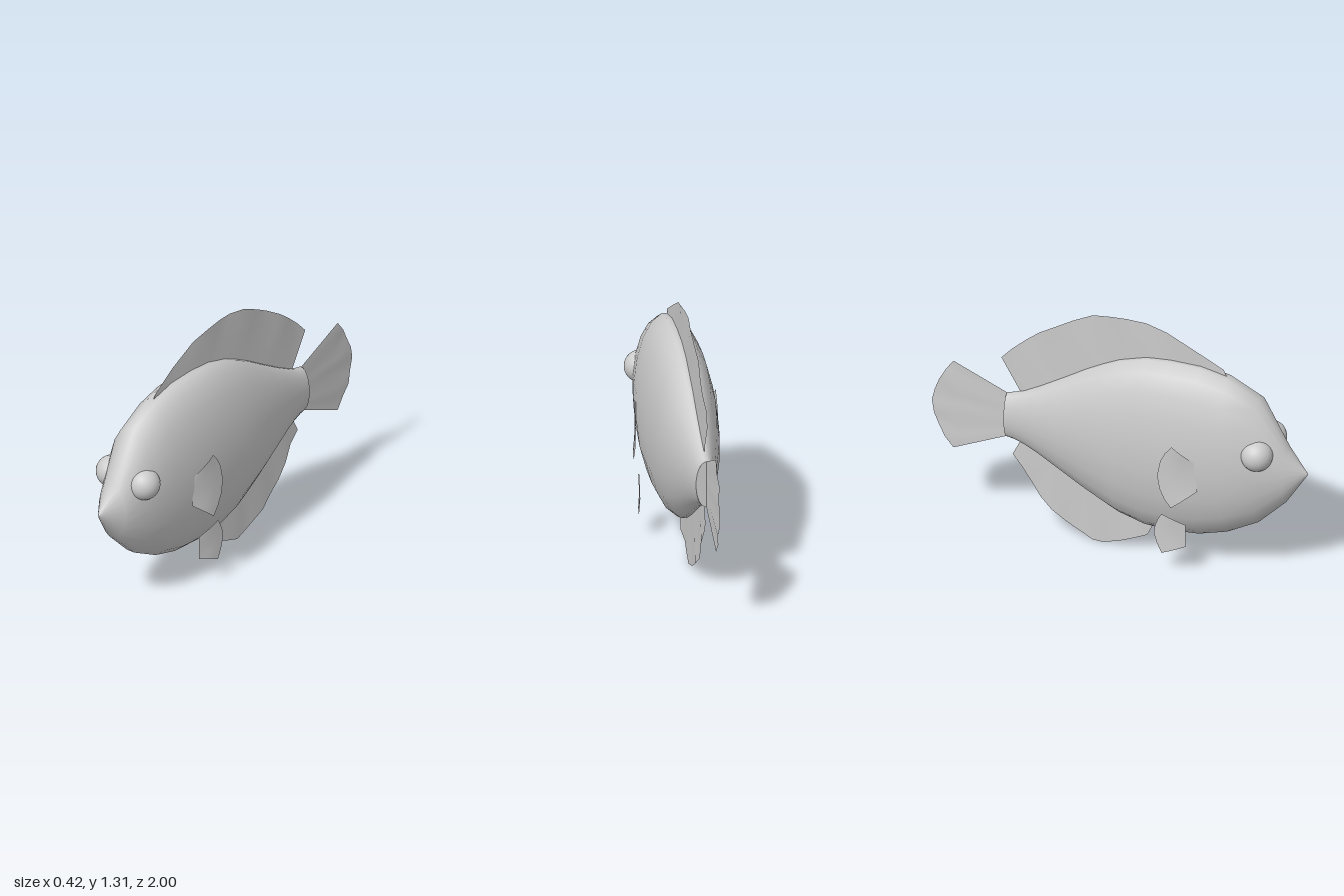
import * as THREE from 'three';

const SIDES = 20;
const skin = new THREE.MeshStandardMaterial({ color: 0xcccccc });
const finSkin = new THREE.MeshStandardMaterial({ color: 0xcccccc, side: THREE.DoubleSide });
const lerp = THREE.MathUtils.lerp;

// Body stations from snout to tail root: [z, top, bottom, half width]
const stations = [
  [1, 0.61, 0.605, 0.003], [0.89, 0.745, 0.435, 0.085], [0.745, 1.0, 0.295, 0.145],
  [0.58, 1.085, 0.21, 0.168], [0.43, 1.12, 0.17, 0.18], [0.27, 1.125, 0.16, 0.18],
  [0.14, 1.115, 0.17, 0.175], [0, 1.075, 0.213, 0.164], [-0.09, 1.033, 0.26, 0.152],
  [-0.18, 0.985, 0.31, 0.138], [-0.3, 0.912, 0.382, 0.113], [-0.42, 0.842, 0.452, 0.085],
  [-0.5, 0.8, 0.492, 0.067], [-0.56, 0.775, 0.513, 0.057], [-0.6, 0.766, 0.52, 0.053],
];

// Body value (1 = top, 2 = bottom) at any z
function bodyAt(z, k) {
  let i = 1;
  while (i < stations.length - 1 && stations[i][0] > z) i++;
  const a = stations[i - 1], b = stations[i];
  return lerp(a[k], b[k], (a[0] - z) / (a[0] - b[0]));
}

// Index list for a grid of rows x cols vertices
function gridIndex(rows, cols, wrap) {
  const index = [];
  for (let i = 0; i < rows - 1; i++) {
    for (let j = 0; j < (wrap ? cols : cols - 1); j++) {
      const k = (j + 1) % cols;
      const a = i * cols + j, b = i * cols + k, c = a + cols, d = b + cols;
      index.push(a, b, c, b, d, c);
    }
  }
  return index;
}

function surface(name, positions, index, material) {
  const geometry = new THREE.BufferGeometry();
  geometry.setAttribute('position', new THREE.Float32BufferAttribute(positions, 3));
  geometry.setIndex(index);
  geometry.computeVertexNormals();
  const mesh = new THREE.Mesh(geometry, material);
  mesh.name = name;
  return mesh;
}

function makeBody() {
  const positions = [];
  const fit = 1 / Math.cos(Math.PI / SIDES); // flat facets sit on the profile
  for (const [z, top, bottom, w] of stations) {
    for (let j = 0; j < SIDES; j++) {
      const a = ((j + 0.5) / SIDES) * Math.PI * 2;
      positions.push(w * fit * Math.sin(a), (top + bottom) / 2 + ((top - bottom) / 2) * fit * Math.cos(a), z);
    }
  }
  return surface('body', positions, gridIndex(stations.length, SIDES, true), skin);
}

// Flat end of the body where the tail fin starts
function makeTailRoot() {
  const [z, top, bottom, w] = stations[stations.length - 1];
  const cap = new THREE.Mesh(new THREE.CircleGeometry(1.012, SIDES, Math.PI / SIDES), skin);
  cap.name = 'tailRoot';
  cap.scale.set(w, (top - bottom) / 2, 1);
  cap.rotation.y = Math.PI;
  cap.position.set(0, (top + bottom) / 2, z);
  return cap;
}

// Thin sheet from a root line to an edge line, both lists of [z, y]; xAt(t, u) bends it sideways
function makeFin(name, root, edge, xAt, rows = 5) {
  const positions = [];
  const cols = edge.length;
  for (let i = 0; i < rows; i++) {
    const t = i / (rows - 1);
    for (let j = 0; j < cols; j++) {
      positions.push(xAt(t, j / (cols - 1)), lerp(root[j][1], edge[j][1], t), lerp(root[j][0], edge[j][0], t));
    }
  }
  return surface(name, positions, gridIndex(rows, cols, false), finSkin);
}

// Evenly spaced root points between two ends
const line = (a, b, n) => Array.from({ length: n }, (_, i) => {
  const t = i / (n - 1);
  return [lerp(a[0], b[0], t), lerp(a[1], b[1], t)];
});

// Root points that follow the body just under its skin
const follow = (z0, z1, n, k, inset) => line([z0, 0], [z1, 0], n).map(([z]) => [z, bodyAt(z, k) + inset]);

const ripple = (waves) => (t, u) => 0.005 * t * Math.sin(u * waves * Math.PI * 2);

export function createModel() {
  const model = new THREE.Group();
  model.name = 'fish';
  model.add(makeBody(), makeTailRoot());

  // Fins on the centre line
  const dorsal = [[0.57, 1.085], [0.55, 1.12], [0.41, 1.2], [0.25, 1.28], [0.14, 1.308], [0.04, 1.316], [-0.04, 1.315],
    [-0.145, 1.3], [-0.25, 1.25], [-0.34, 1.2], [-0.43, 1.145], [-0.5, 1.09], [-0.57, 1.03], [-0.63, 0.965]];
  model.add(makeFin('dorsalFin', follow(0.56, -0.52, dorsal.length, 1, -0.02), dorsal, ripple(4)));

  const anal = [[0.18, 0.165], [0.145, 0.09], [0.07, 0.06], [0, 0.03], [-0.09, 0.002], [-0.145, 0.012], [-0.21, 0.045],
    [-0.29, 0.085], [-0.36, 0.14], [-0.42, 0.2], [-0.47, 0.275], [-0.52, 0.36], [-0.57, 0.42]];
  model.add(makeFin('analFin', follow(0.18, -0.52, anal.length, 2, 0.02), anal, ripple(4)));

  const tail = [[-0.885, 0.895], [-0.925, 0.84], [-0.96, 0.777], [-0.985, 0.715], [-1, 0.65],
    [-0.987, 0.58], [-0.965, 0.515], [-0.93, 0.453], [-0.885, 0.395]];
  model.add(makeFin('tailFin', line([-0.595, 0.766], [-0.595, 0.52], tail.length), tail, ripple(3)));

  // Paired fins and eyes
  const pectoral = [[0.35, 0.75], [0.315, 0.708], [0.29, 0.66], [0.273, 0.575], [0.285, 0.5], [0.31, 0.445], [0.345, 0.397]];
  const pelvic = [[0.29, 0.345], [0.27, 0.31], [0.255, 0.27], [0.25, 0.225], [0.265, 0.175], [0.29, 0.12]];
  for (const [side, label] of [[1, 'left'], [-1, 'right']]) {
    const flare = (x0, x1) => (t) => side * lerp(x0, x1, Math.sin((t * Math.PI) / 2));
    model.add(makeFin(label + 'PectoralFin', line([0.46, 0.66], [0.475, 0.5], pectoral.length), pectoral, flare(0.176, 0.209)));
    model.add(makeFin(label + 'PelvicFin', line([0.41, 0.29], [0.41, 0.165], pelvic.length), pelvic, flare(0.168, 0.191)));

    const eye = new THREE.Mesh(new THREE.SphereGeometry(0.082, 24, 16), skin);
    eye.name = label + 'Eye';
    eye.position.set(side * 0.104, 0.728, 0.765);
    model.add(eye);
  }
  return model;
}
